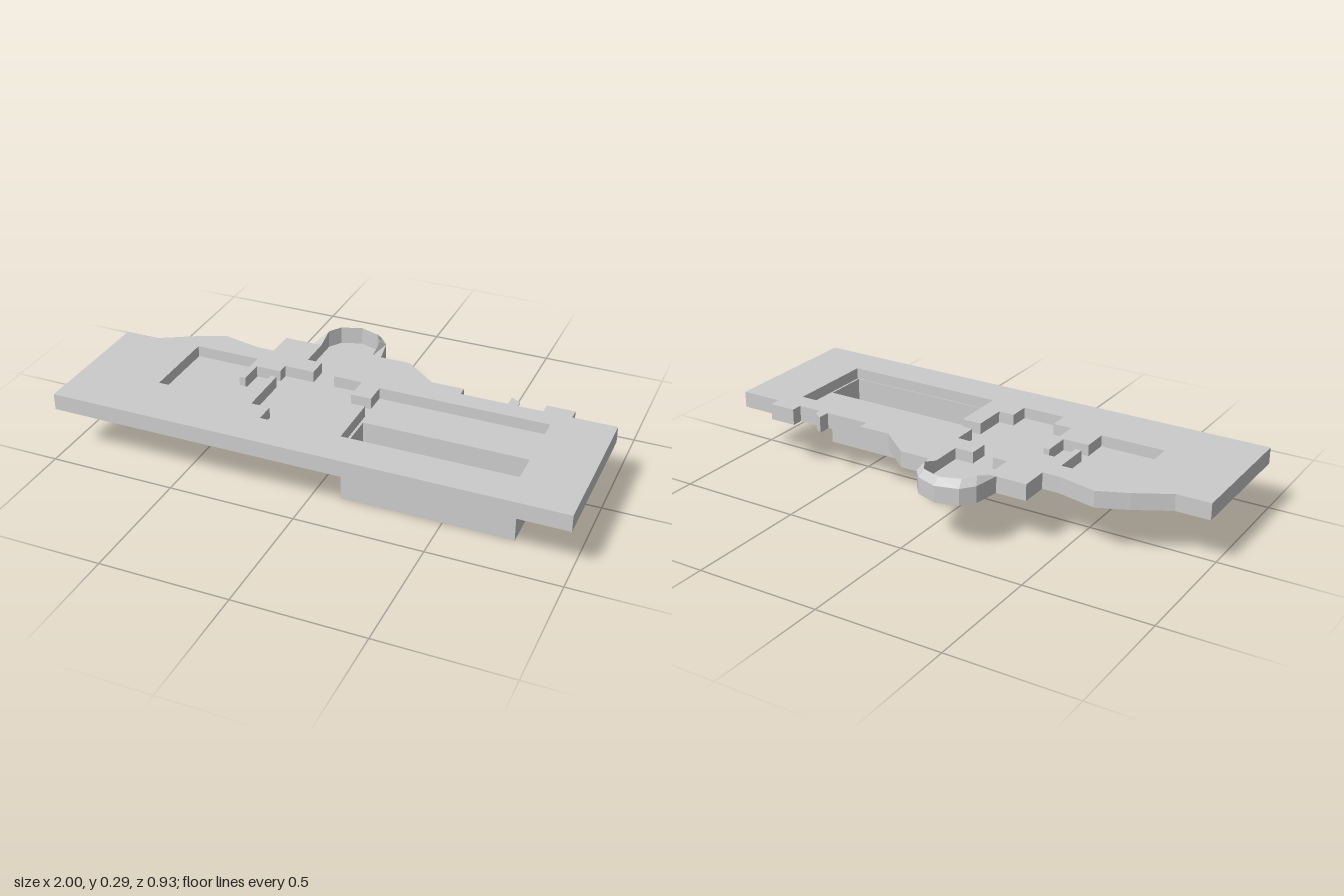
import * as THREE from 'three';

const FLOOR = 0.22, TOP = 0.265, RIDGE = 0.29;

// Apse wall, listed from +x round to -x as [x, z]
const apseOuter = [[0.02, -0.285], [0, -0.39], [-0.037, -0.435], [-0.123, -0.465], [-0.21, -0.44], [-0.25, -0.39], [-0.268, -0.285]];
const apseInner = [[-0.015, -0.285], [-0.015, -0.36], [-0.045, -0.41], [-0.123, -0.437], [-0.203, -0.41], [-0.235, -0.36], [-0.235, -0.285]];

// Outline of the terrain block
const outline = [
  [-1, 0.46], [1, 0.46], [1, -0.14], [0.83, -0.14], [0.83, -0.185], [0.72, -0.185], [0.72, -0.14],
  [0.625, -0.14], [0.62, -0.17], [0.585, -0.19], [0.585, -0.14], [0.4, -0.14], [0.4, -0.18],
  [0.27, -0.18], [0.14, -0.285], ...apseOuter,
  [-0.39, -0.285], [-0.39, -0.17], [-0.46, -0.17], [-0.615, -0.205], [-0.73, -0.155], [-0.865, -0.08], [-1, -0.08],
];

// Connected rooms and passages sunk into the block
const rooms = [
  [-0.68, -0.085], [-0.42, -0.085], [-0.42, 0.07], [-0.395, 0.07], [-0.395, -0.03], [-0.295, -0.03],
  [-0.295, -0.075], [-0.175, -0.075], [-0.175, -0.155], [-0.235, -0.155],
  ...apseInner.slice().reverse(),
  [-0.015, -0.155], [-0.09, -0.155], [-0.09, -0.075], [0.025, -0.075], [0.025, 0.025], [0.105, 0.025],
  [0.105, -0.06], [0.77, -0.06], [0.77, 0.31], [0.105, 0.31], [0.105, 0.085], [0.025, 0.085],
  [0.025, 0.225], [-0.04, 0.225], [-0.04, 0.31], [-0.215, 0.31], [-0.215, 0.23], [-0.29, 0.23],
  [-0.29, 0.015], [-0.315, 0.015], [-0.315, 0.125], [-0.42, 0.125], [-0.42, 0.23], [-0.68, 0.23],
];

const rect = (x0, x1, z0, z1) => [[x0, z0], [x1, z0], [x1, z1], [x0, z1]];
const pitOuter = rect(0.105, 0.77, 0.12, 0.314);
const pitInner = rect(0.115, 0.762, 0.125, 0.306);

const toVectors = (points) => points.map(([x, z]) => new THREE.Vector2(x, z));

export function createModel() {
  const group = new THREE.Group();
  const material = new THREE.MeshStandardMaterial({ color: 0xcccccc, flatShading: true, side: THREE.DoubleSide });

  const add = (name, geometry) => {
    const mesh = new THREE.Mesh(geometry, material);
    mesh.name = name;
    group.add(mesh);
    return mesh;
  };

  // Upright prism of a plan between two heights, with an optional hole
  const layer = (name, plan, y0, y1, hole) => {
    const shape = new THREE.Shape(toVectors(plan));
    if (hole) shape.holes.push(new THREE.Path(toVectors(hole)));
    const geometry = new THREE.ExtrudeGeometry(shape, { depth: y1 - y0, bevelEnabled: false });
    geometry.rotateX(Math.PI / 2);
    add(name, geometry).position.y = y1;
  };

  layer('terrainBlock', outline, FLOOR, TOP, rooms);
  layer('roomFloor', outline, 0.2, FLOOR, pitInner);
  layer('pitWalls', pitOuter, 0, 0.2, pitInner);
  layer('pitFloor', pitInner, 0, 0.01);

  // Sloping crown of the apse: rises from the outer edge to an inner ridge
  const last = apseInner.length - 1;
  const low = apseOuter.map(([x, z]) => [x, TOP, z]);
  const high = apseInner.map(([x, z], i) => [x, i === 0 || i === last ? TOP : RIDGE, z]);
  const foot = apseInner.map(([x, z]) => [x, TOP, z]);
  const positions = [];
  const strip = (a, b) => {
    for (let i = 0; i < last; i++) {
      for (const p of [a[i], a[i + 1], b[i + 1], a[i], b[i + 1], b[i]]) positions.push(...p);
    }
  };
  strip(high, low);
  strip(foot, high);
  const crown = new THREE.BufferGeometry();
  crown.setAttribute('position', new THREE.Float32BufferAttribute(positions, 3));
  // Wind the crown so that its slope faces up
  const up = new THREE.Vector3();
  const corner = (i) => new THREE.Vector3().fromBufferAttribute(crown.attributes.position, i);
  up.crossVectors(corner(7).sub(corner(6)), corner(8).sub(corner(6)));
  if (up.y < 0) {
    crown.setIndex(Array.from({ length: positions.length / 3 }, (_, i) => i - (i % 3) + [0, 2, 1][i % 3]));
  }
  crown.computeVertexNormals();
  add('apseCrown', crown);

  return group;
}
